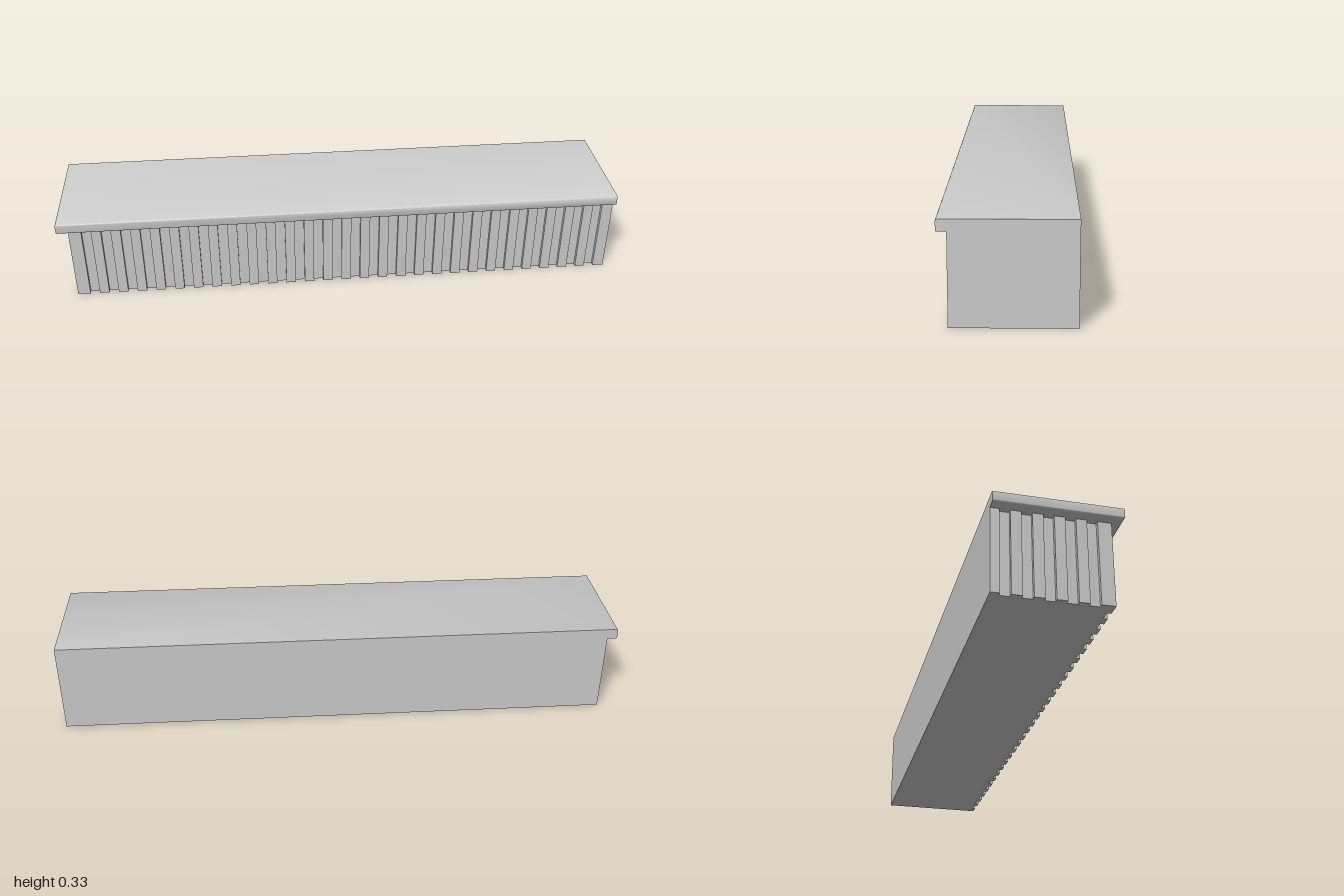
import * as THREE from 'three';
import { toCreasedNormals } from 'three/addons/utils/BufferGeometryUtils.js';

const BACK = -0.207, FRONT = 0.207, RIGHT = 1, LEFT = -1;
const BODY_LEFT = -0.965, BODY_FRONT = 0.175;
const BODY_TOP = 0.29, TOP = 0.328;
const PITCH = 0.0684, GROOVE = 0.034, DEPTH = 0.014, CORNER = 0.045;

export function createModel() {
  const group = new THREE.Group();
  const material = new THREE.MeshStandardMaterial({ color: 0xcccccc });
  const add = (geometry, name) => {
    const mesh = new THREE.Mesh(geometry, material);
    mesh.name = name;
    group.add(mesh);
  };

  // Counter body: plan outline with vertical grooves on the left end and the front
  const plan = new THREE.Shape();
  plan.moveTo(RIGHT, -BACK);
  plan.lineTo(BODY_LEFT, -BACK);
  for (let i = 4; i >= 0; i--) {
    const y = -BODY_FRONT + CORNER + i * PITCH;
    plan.lineTo(BODY_LEFT, y + GROOVE);
    plan.lineTo(BODY_LEFT + DEPTH, y + GROOVE);
    plan.lineTo(BODY_LEFT + DEPTH, y);
    plan.lineTo(BODY_LEFT, y);
  }
  plan.lineTo(BODY_LEFT, -BODY_FRONT);
  for (let i = 0; i < 28; i++) {
    const x = BODY_LEFT + CORNER + i * PITCH;
    plan.lineTo(x, -BODY_FRONT);
    plan.lineTo(x, -BODY_FRONT + DEPTH);
    plan.lineTo(x + GROOVE, -BODY_FRONT + DEPTH);
    plan.lineTo(x + GROOVE, -BODY_FRONT);
  }
  plan.lineTo(RIGHT, -BODY_FRONT);
  plan.closePath();
  const body = new THREE.ExtrudeGeometry(plan, { depth: BODY_TOP, bevelEnabled: false });
  body.rotateX(-Math.PI / 2);
  add(body, 'flutedBody');

  // Worktop: rounded on the front and left edges, cut flush at the back and right
  const r = 0.006;
  const slab = new THREE.Shape();
  slab.moveTo(LEFT + r, -FRONT + r);
  slab.lineTo(RIGHT + r, -FRONT + r);
  slab.lineTo(RIGHT + r, -BACK + r);
  slab.lineTo(LEFT + r, -BACK + r);
  slab.closePath();
  let top = new THREE.ExtrudeGeometry(slab, {
    depth: TOP - BODY_TOP - 2 * r, bevelThickness: r, bevelSize: r, bevelSegments: 4,
  });
  top.rotateX(-Math.PI / 2);
  top.translate(0, BODY_TOP + r, 0);
  const p = top.attributes.position;
  for (let i = 0; i < p.count; i++) {
    p.setX(i, Math.min(p.getX(i), RIGHT));
    p.setZ(i, Math.max(p.getZ(i), BACK));
  }
  top = toCreasedNormals(top, 0.6);
  add(top, 'worktop');

  return group;
}
